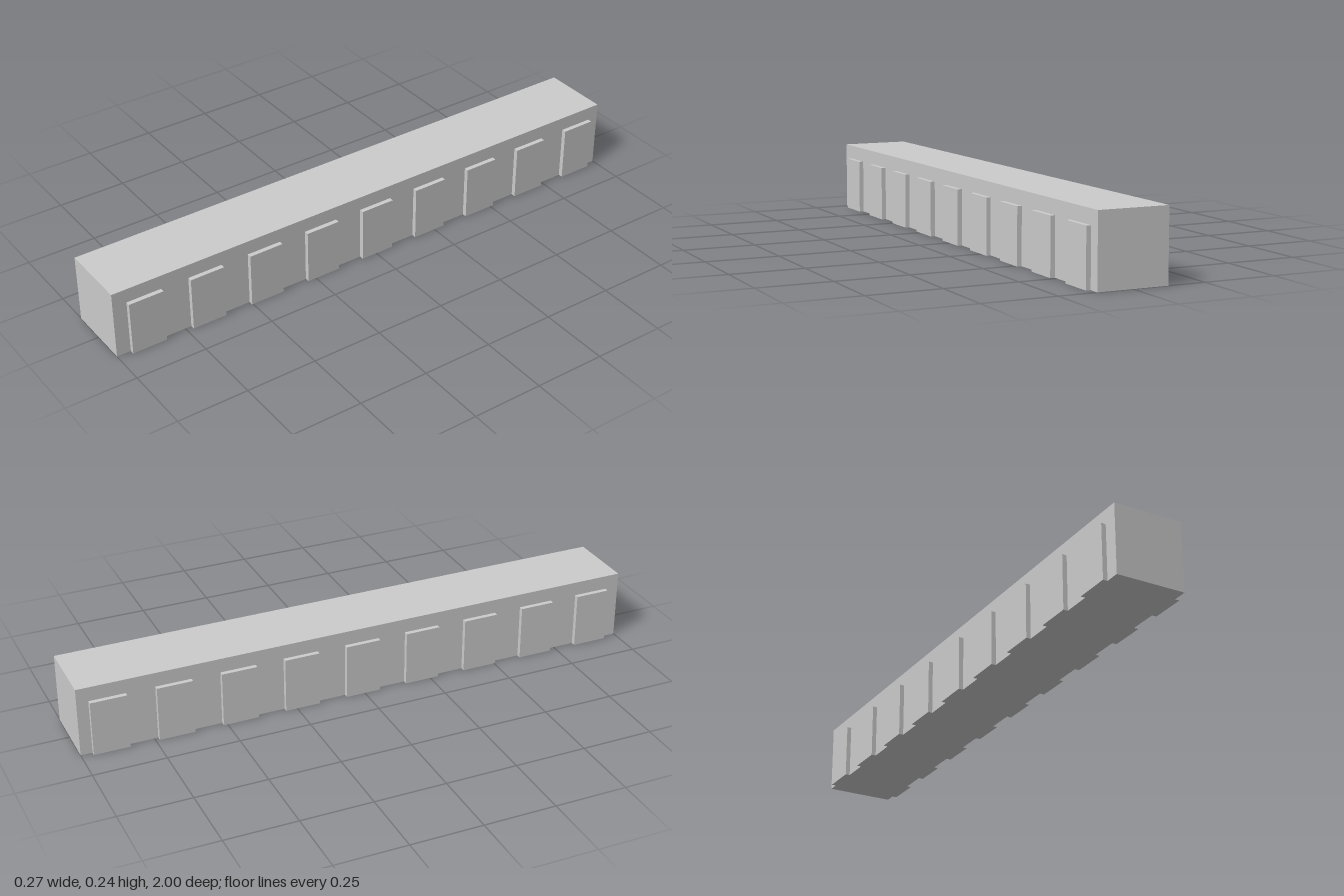
import * as THREE from 'three';

export function createModel() {
  const group = new THREE.Group();
  const material = new THREE.MeshStandardMaterial({ color: 0xcccccc, flatShading: true });

  const addBox = (name, size, position) => {
    const mesh = new THREE.Mesh(new THREE.BoxGeometry(...size), material);
    mesh.name = name;
    mesh.position.set(...position);
    group.add(mesh);
  };

  // Long solid beam
  const width = 0.242, height = 0.243;
  addBox('beam', [width, height, 2], [0, height / 2, 0]);

  // Nine shallow raised panels along each long side
  const count = 9, spacing = 0.2233, depth = 0.016, panelHeight = 0.193;
  for (const side of [1, -1]) {
    for (let i = 0; i < count; i++) {
      const z = (i - (count - 1) / 2) * spacing - 0.005;
      addBox(
        side > 0 ? 'leftPanel' : 'rightPanel',
        [depth, panelHeight, 0.124],
        [side * (width + depth) / 2, panelHeight / 2, z]
      );
    }
  }
  return group;
}
